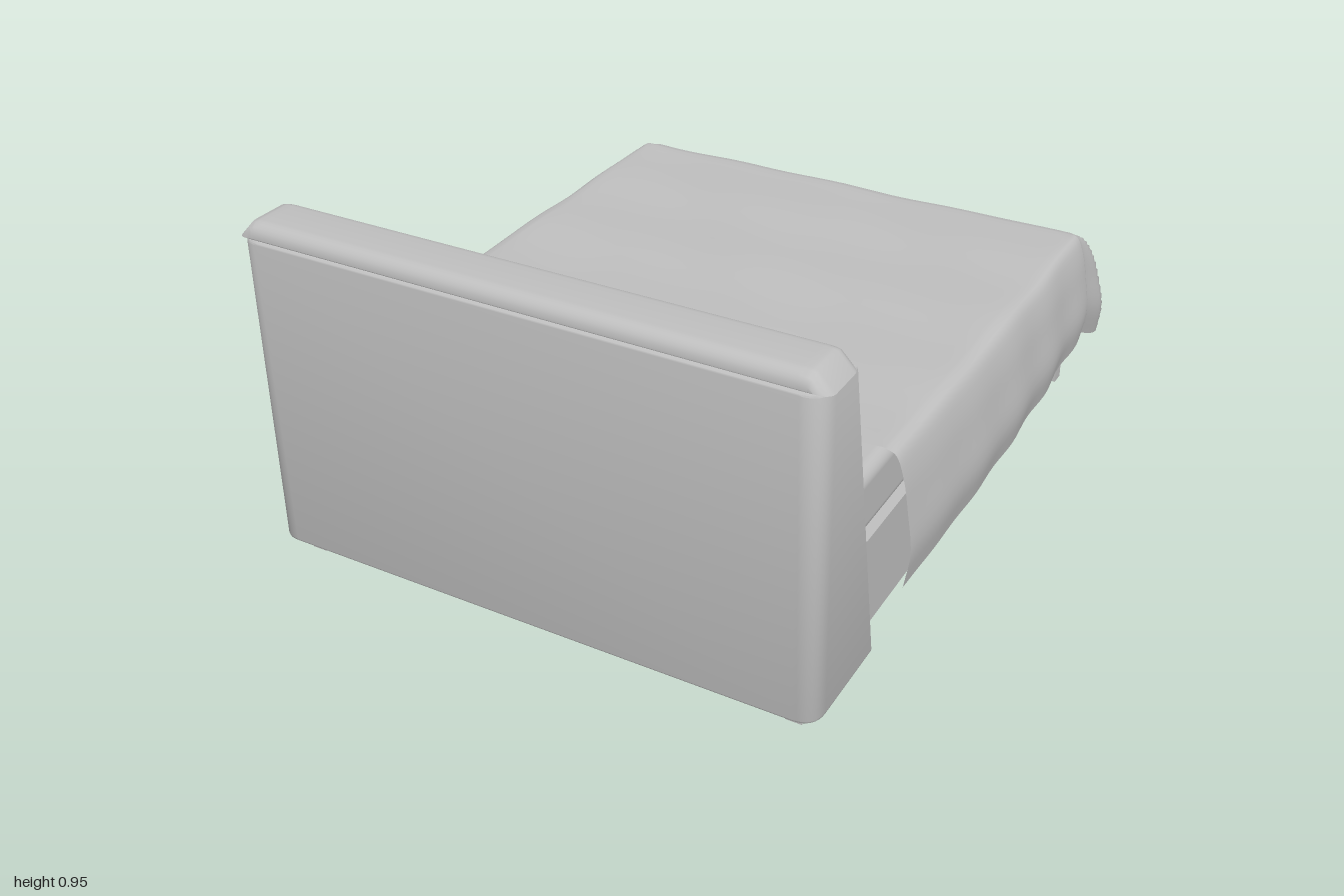
import * as THREE from 'three';
import { mergeGeometries, toCreasedNormals } from 'three/addons/utils/BufferGeometryUtils.js';
import { RoundedBoxGeometry } from 'three/addons/geometries/RoundedBoxGeometry.js';

const grey = new THREE.MeshStandardMaterial({ color: 0xbfbfbf, side: THREE.DoubleSide });
grey.name = 'softGrey';

function add(parent, name, geometry, x = 0, y = 0, z = 0) {
  const mesh = new THREE.Mesh(geometry, grey);
  mesh.name = name;
  mesh.position.set(x, y, z);
  parent.add(mesh);
  return mesh;
}

// Grid surface from a list of column and row parameters
function gridSurface(us, vs, point, flip = false) {
  const pos = [], index = [], n = us.length;
  for (const v of vs) for (const u of us) pos.push(...point(u, v));
  for (let j = 0; j < vs.length - 1; j++) {
    for (let i = 0; i < n - 1; i++) {
      const a = j * n + i, b = a + 1, c = a + n, d = c + 1;
      if (flip) index.push(a, c, b, b, c, d);
      else index.push(a, b, c, b, d, c);
    }
  }
  const g = new THREE.BufferGeometry();
  g.setAttribute('position', new THREE.Float32BufferAttribute(pos, 3));
  g.setIndex(index);
  g.computeVertexNormals();
  return g;
}

const range = (a, b, n) => Array.from({ length: n + 1 }, (_, i) => a + (b - a) * i / n);
const profile = pts => new THREE.CatmullRomCurve3(pts.map(p => new THREE.Vector3(p[0], p[1], 0)));

// U-shaped plan: back panel with two wings whose front edges lean back
function headboardShell() {
  const W = 0.762, I = 0.728, r = 0.05, s = new THREE.Shape();
  s.moveTo(-W, -0.7);
  s.lineTo(-W, -0.992 + r);
  s.quadraticCurveTo(-W, -0.992, -W + r, -0.992);
  s.lineTo(W - r, -0.992);
  s.quadraticCurveTo(W, -0.992, W, -0.992 + r);
  s.lineTo(W, -0.7);
  s.lineTo(I, -0.7);
  s.lineTo(I, -0.925);
  s.lineTo(-I, -0.925);
  s.lineTo(-I, -0.7);
  s.closePath();
  const b = 0.008;
  const g = new THREE.ExtrudeGeometry(s, {
    depth: 0.86 - 2 * b, bevelSize: b, bevelThickness: b, bevelSegments: 3, curveSegments: 8 });
  g.rotateX(-Math.PI / 2).translate(0, 0.05 + b, 0);
  const p = g.attributes.position;
  for (let i = 0; i < p.count; i++) {
    if (p.getZ(i) < 0.8) p.setZ(i, p.getZ(i) + 0.15 * (p.getY(i) - 0.05) / 0.86);
  }
  return toCreasedNormals(g, 0.7);
}

// Rounded roll along the top of the headboard
function headboardCap() {
  const b = 0.035, W = 0.77 - b, low = 0.911 + 0.006, s = new THREE.Shape();
  s.moveTo(-W + 0.004, low);
  s.lineTo(W - 0.004, low);
  s.quadraticCurveTo(W - 0.01, 0.92, W - 0.03, 0.92);
  s.lineTo(-W + 0.03, 0.92);
  s.quadraticCurveTo(-W + 0.01, 0.92, -W + 0.004, low);
  const g = new THREE.ExtrudeGeometry(s, {
    depth: 0.16 - 2 * b, bevelSize: b, bevelThickness: b, bevelSegments: 6, curveSegments: 6 });
  g.translate(0, 0, 0.84 + b);
  const p = g.attributes.position;
  for (let i = 0; i < p.count; i++) p.setY(i, Math.max(p.getY(i), 0.885));
  return toCreasedNormals(g, 0.7);
}

// Cloth lying on the mattress, hanging over both sides and the foot
function blanketGeometry() {
  const side = profile([[0, 0.495], [0.035, 0.483], [0.06, 0.425], [0.078, 0.33], [0.092, 0.22], [0.075, 0.115]]);
  const foot = profile([[0, 0.495], [0.045, 0.478], [0.085, 0.415], [0.112, 0.31], [0.125, 0.21]]);
  const us = [...range(-2, -1, 18), ...range(-1, 1, 36).slice(1), ...range(1, 2, 18).slice(1)];
  const vs = [...range(0, 1, 40), ...range(1, 2, 18).slice(1)];
  return gridSurface(us, vs, (u, v) => {
    const a = Math.max(0, Math.abs(u) - 1), b = Math.max(0, v - 1), d = Math.max(a, b);
    const sx = Math.sign(u), along = Math.min(v, 1);
    let x = THREE.MathUtils.clamp(u, -1, 1) * 0.70;
    let z = 0.51 - along * 1.31;
    // gentle creases on the flat top
    const crease = 0.004 * Math.sin(5 * x + 7 * z) * Math.sin(9 * z - 4 * x) + 0.002 * Math.sin(17 * x - 11 * z);
    let y = 0.495 + crease;
    if (d > 0) {
      const S = side.getPoint(d), F = foot.getPoint(d);
      const th = Math.atan2(b, a), w = Math.sin(th) ** 2;
      const flare = Math.sin(2 * th) ** 6, pinch = Math.sin(4 * th) ** 2;
      const bulge = 0.9 + 0.14 * Math.sin(Math.PI * along);
      const ripple = 0.006 * d * (Math.sin(23 * z) * (1 - w) * along + Math.sin(14 * x + 1) * w);
      x += sx * (S.x * bulge * a / d - 0.02 * d * pinch + ripple * (1 - w));
      z -= F.x * b / d + 0.075 * d * flare - 0.02 * d * pinch + ripple * w;
      const sideY = S.y + 0.045 * d * along * along;
      y = sideY * (1 - w) + F.y * w - 0.09 * d * flare + crease * (1 - d);
    }
    return [x, y, z];
  });
}

// Cushion with pointed corners, hollow edges and pinched seams
function pillowGeometry(w, h, t) {
  const k = range(-1, 1, 32).map(q => Math.sin(q * Math.PI / 2));
  const half = sign => gridSurface(k, k, (u, v) => {
    const puff = Math.pow(Math.max(0, (1 - u * u) * (1 - v * v)), 0.5);
    const dent = 1 - 0.22 * Math.exp(-((u / 0.16) ** 2)) * v * v - 0.2 * Math.exp(-((v / 0.18) ** 2)) * u * u;
    return [
      u * w / 2 * (1 - 0.11 * (1 - v * v)),
      sign * t / 2 * puff * dent,
      -v * h / 2 * (1 - 0.13 * (1 - u * u)),
    ];
  }, sign < 0);
  return mergeGeometries([half(1), half(-1)]);
}

export function createModel() {
  const bed = new THREE.Group();
  bed.name = 'bed';

  // Headboard
  const headboard = new THREE.Group();
  headboard.name = 'headboard';
  bed.add(headboard);
  add(headboard, 'headboardShell', headboardShell());
  add(headboard, 'headboardCap', headboardCap());

  // Base, mattress and legs
  add(bed, 'bedFrame', new THREE.BoxGeometry(1.438, 0.26, 1.765), 0, 0.18, 0.0375);
  add(bed, 'mattress', new RoundedBoxGeometry(1.40, 0.175, 1.73, 4, 0.035), 0, 0.3875, 0.05);
  for (const x of [-0.692, 0.692]) {
    for (const z of [-0.812, 0.925]) add(bed, 'leg', new THREE.BoxGeometry(0.043, 0.055, 0.043), x, 0.0275, z);
  }

  // Bedding
  add(bed, 'blanket', blanketGeometry());
  const pillows = [
    ['rightPillow', -0.345, 0.585, 0.70, 0.58, 0.40, 0.03],
    ['leftPillow', 0.32, 0.585, 0.70, 0.57, 0.40, -0.03],
    ['frontPillow', 0.07, 0.595, 0.49, 0.56, 0.36, 0.02],
  ];
  for (const [name, x, y, z, w, h, turn] of pillows) {
    const pillow = add(bed, name, pillowGeometry(w, h, 0.19), x, y, z);
    pillow.rotation.set(-0.55, turn, 0);
  }
  return bed;
}
